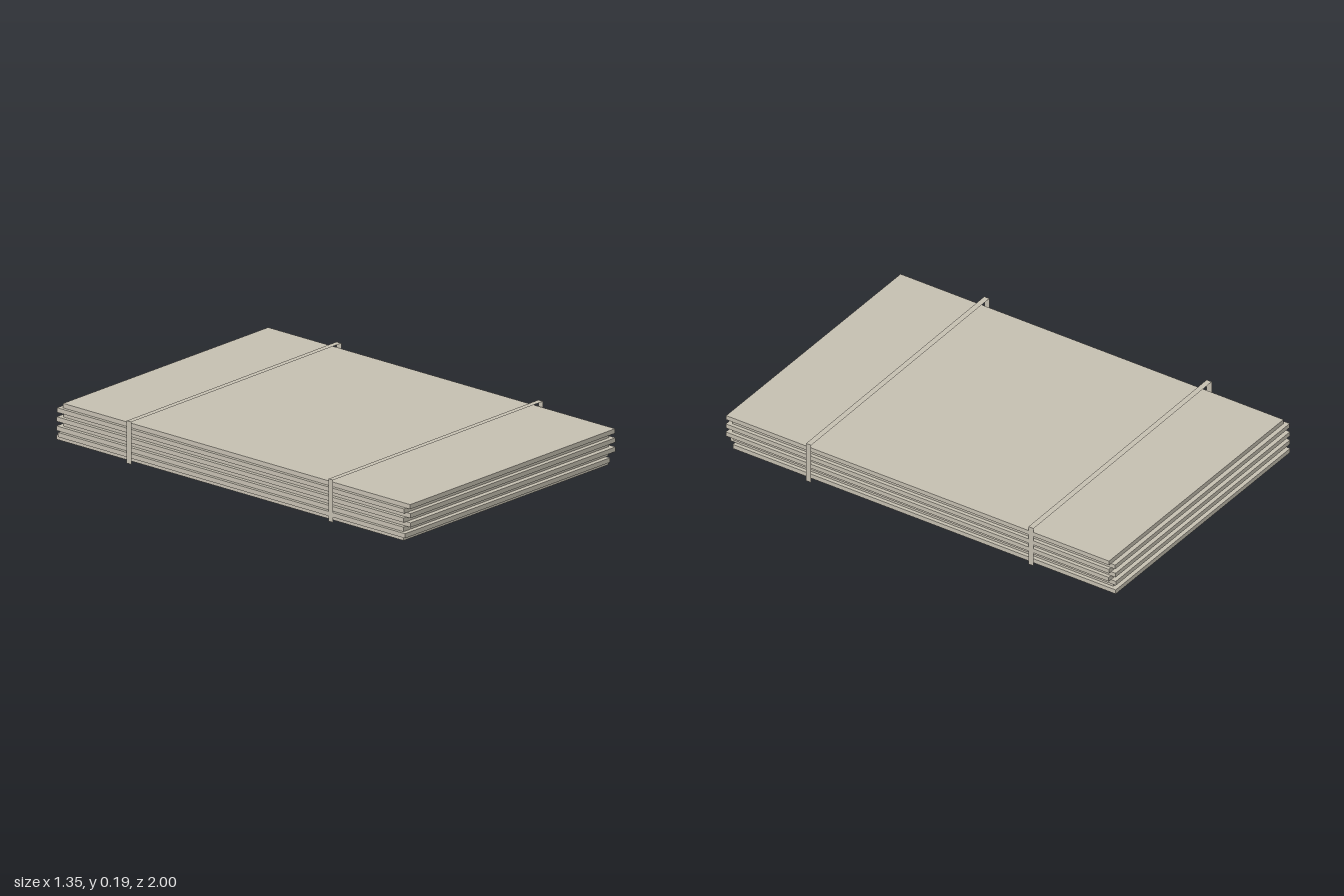
import * as THREE from 'three';

export function createModel() {
  const group = new THREE.Group();
  const board = new THREE.MeshStandardMaterial({ color: 0xc4beb0 });
  board.name = 'pale board';
  const band = new THREE.MeshStandardMaterial({ color: 0xc4beb0, side: THREE.DoubleSide });
  band.name = 'pale strap';

  // Loosely stacked sheets, bottom to top: [x offset, z offset]
  const thickness = 0.0205, base = 0.003;
  const offsets = [
    [0.0, -0.0135], [-0.018, 0.01], [-0.003, -0.012], [0.014, 0.013],
    [-0.003, -0.011], [0.014, 0.0125], [-0.003, -0.009], [0.012, 0.0125],
  ];
  const sheetGeometry = new THREE.BoxGeometry(1.306, thickness, 1.962);
  offsets.forEach(([x, z], i) => {
    const sheet = new THREE.Mesh(sheetGeometry, board);
    sheet.name = `sheet${i + 1}`;
    sheet.position.set(x, base + (i + 0.5) * thickness, z);
    sheet.rotation.y = -0.007;
    group.add(sheet);
  });

  // Flat straps: a top ribbon raised above the stack and a leg down each side
  const left = 0.673, right = -0.675, top = 0.19, width = 0.026;
  for (const [name, z] of [['frontStrap', 0.567], ['backStrap', -0.567]]) {
    const strap = new THREE.Group();
    strap.name = name;
    const ribbon = new THREE.Mesh(new THREE.PlaneGeometry(left - right, width), band);
    ribbon.name = 'strapTop';
    ribbon.rotation.x = -Math.PI / 2;
    ribbon.position.set((left + right) / 2, top, 0);
    strap.add(ribbon);
    for (const x of [left, right]) {
      const leg = new THREE.Mesh(new THREE.PlaneGeometry(width, top), band);
      leg.name = x > 0 ? 'leftStrapLeg' : 'rightStrapLeg';
      leg.rotation.y = Math.sign(x) * Math.PI / 2;
      leg.position.set(x, top / 2, 0);
      strap.add(leg);
    }
    strap.position.z = z;
    group.add(strap);
  }
  return group;
}
